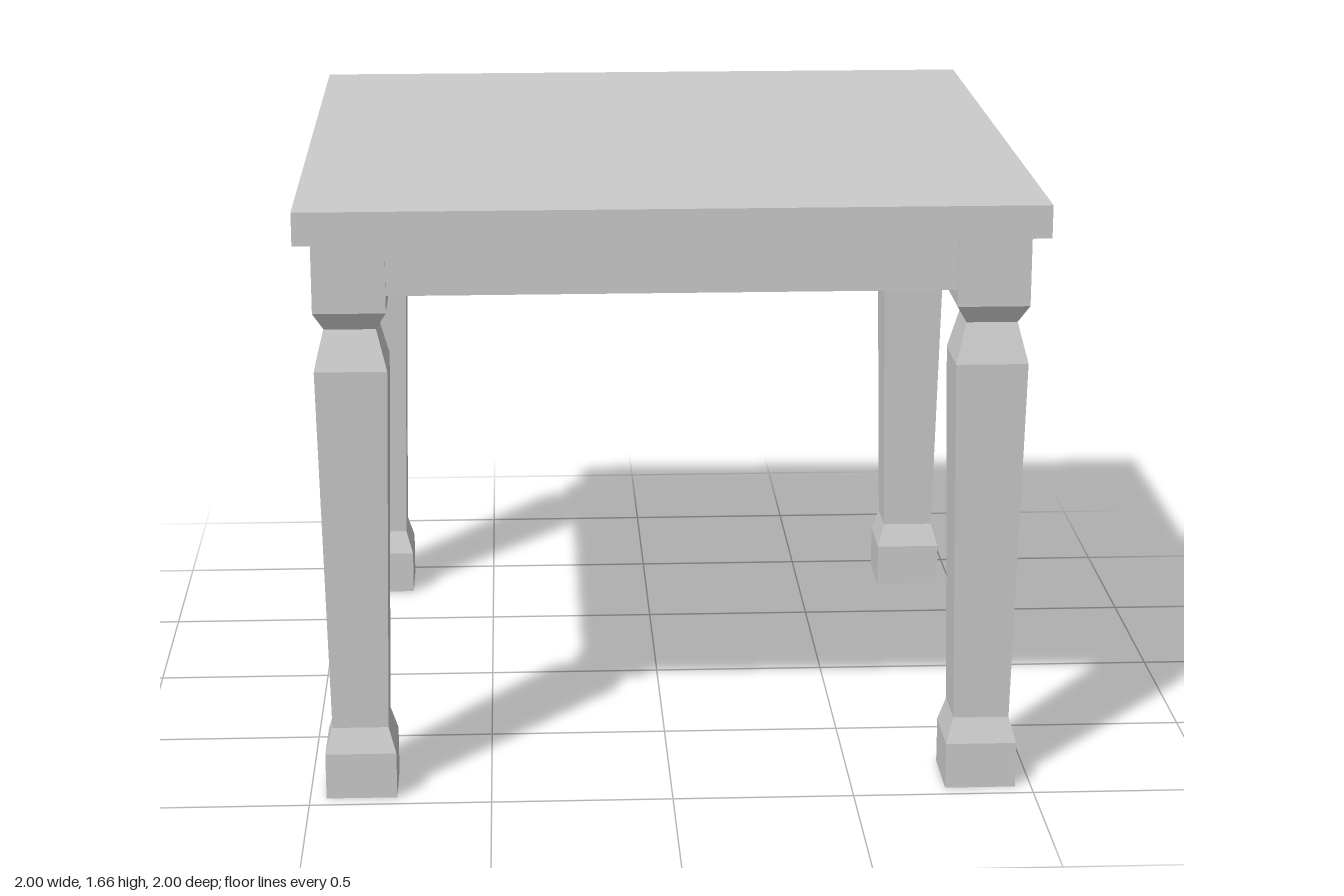
import * as THREE from 'three';

const material = new THREE.MeshStandardMaterial({ color: 0xcccccc, flatShading: true });

// Half-widths of the square leg against height
const legProfile = [
  [0, 0], [0.0975, 0], [0.0975, 0.13], [0.077, 0.2], [0.0975, 1.22],
  [0.069, 1.33], [0.0975, 1.38], [0.0975, 1.575], [0, 1.575],
];

export function createModel() {
  const table = new THREE.Group();
  table.name = 'table';

  const add = (name, geometry, x, y, z) => {
    const mesh = new THREE.Mesh(geometry, material);
    mesh.name = name;
    mesh.position.set(x, y, z);
    table.add(mesh);
  };

  // Table top
  add('tableTop', new THREE.BoxGeometry(2, 0.09, 2), 0, 1.62, 0);

  // Four-sided turned legs, one in each corner
  const points = legProfile.map(([w, y]) => new THREE.Vector2(w * Math.SQRT2, y));
  const legGeometry = new THREE.LatheGeometry(points, 4, Math.PI / 4);
  for (const [x, side] of [[-1, 'Right'], [1, 'Left']]) {
    for (const [z, end] of [[-1, 'back'], [1, 'front']]) {
      add(`${end}${side}Leg`, legGeometry, x * 0.8575, 0, z * 0.8575);
    }
  }

  // Aprons between the legs; the side pair is slightly deeper
  const longApron = new THREE.BoxGeometry(1.54, 0.15, 0.1);
  const sideApron = new THREE.BoxGeometry(0.1, 0.175, 1.54);
  for (const s of [-1, 1]) {
    add(s > 0 ? 'frontApron' : 'backApron', longApron, 0, 1.5, s * 0.897);
    add(s > 0 ? 'leftApron' : 'rightApron', sideApron, s * 0.897, 1.4875, 0);
  }

  return table;
}
